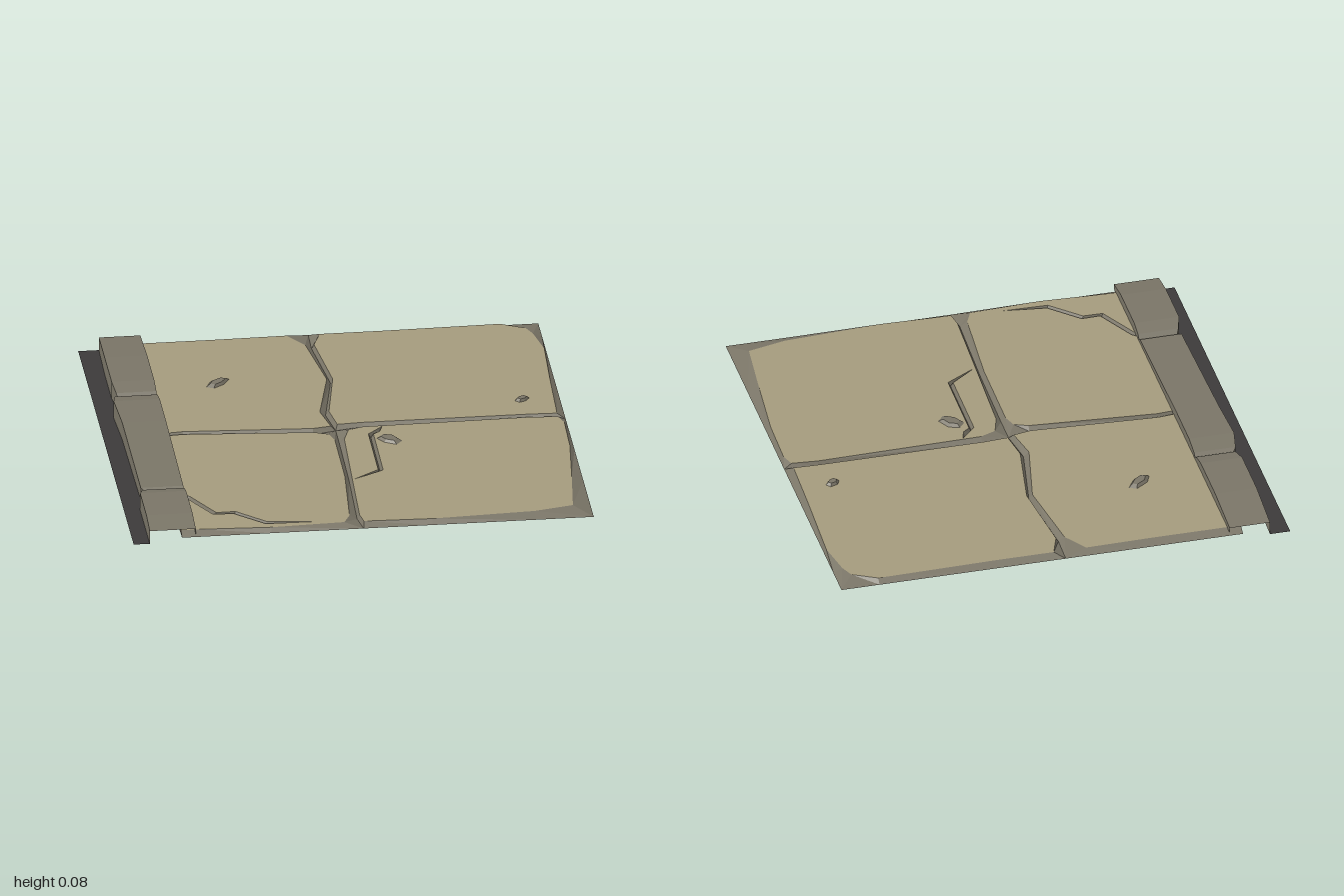
import * as THREE from 'three';

const mat = (name, color) => {
  const m = new THREE.MeshStandardMaterial({ color, side: THREE.DoubleSide });
  m.name = name;
  return m;
};

const TOP = 0.04, LOW = 0.021;
const at = (points, y) => points.map(([x, z]) => new THREE.Vector3(x, y, z));
const closed = (points) => [...points, points[0]];

// Flat-shaded surface joining rows of points
function loft(rows) {
  const points = [];
  for (let i = 0; i < rows.length - 1; i++) {
    const a = rows[i], b = rows[i + 1];
    for (let j = 0; j < a.length - 1; j++) points.push(a[j], a[j + 1], b[j], a[j + 1], b[j + 1], b[j]);
  }
  const g = new THREE.BufferGeometry().setFromPoints(points);
  g.computeVertexNormals();
  return g;
}

// Horizontal polygon from [x, z] points, with optional holes
function flat(points, y, holes = []) {
  const to2 = ([x, z]) => new THREE.Vector2(x, -z);
  const shape = new THREE.Shape(points.map(to2));
  for (const h of holes) shape.holes.push(new THREE.Path(h.map(to2)));
  return new THREE.ShapeGeometry(shape).rotateX(-Math.PI / 2).translate(0, y, 0);
}

// One edge of a crack that tapers to a point at each end
const crackSide = (path, half) => path.map((p, i) => {
  if (i === 0 || i === path.length - 1) return p;
  const dx = path[i + 1][0] - path[i - 1][0], dz = path[i + 1][1] - path[i - 1][1];
  const k = half / Math.hypot(dx, dz);
  return [p[0] - k * dz, p[1] + k * dx];
});

// Four joints from the middle outwards: [x, z, gap to next slab, gap to previous slab]
const joints = [
  { side: [0, -1], path: [[0.12, -0.02, 0.022, 0.022], [0.85, -0.02, 0.02, 0.01], [1, -0.01, 0.026, 0.01]] },
  { side: [-1, 0], path: [[-0.025, -0.17, 0.025, 0.015], [0.036, -0.5, 0.016, 0.01],
    [-0.003, -0.86, 0.027, 0.011], [0, -1, 0.1, 0.045]] },
  { side: [0, 1], path: [[-0.1, 0.018, 0.017, 0.023], [-0.66, -0.022, 0.01, 0.018], [-0.8, -0.015, 0.01, 0.015]] },
  { side: [1, 0], path: [[0, 0.12, 0.022, 0.02], [-0.004, 0.5, 0.012, 0.018],
    [-0.017, 0.9, 0.011, 0.033], [0, 1, 0.005, 0.08]] },
];

// Slabs between neighbouring joints: inner corner and worn outer rim
const slabs = [
  { name: 'backRightSlab', inner: [0.01, -0.035],
    rim: [[0.975, -0.35], [0.99, -0.7], [0.96, -0.86], [0.935, -0.92], [0.83, -0.975], [0.3, -0.965]] },
  { name: 'backLeftSlab', inner: [-0.02, -0.02], rim: [[-0.4, -0.96], [-0.79, -0.96]] },
  { name: 'frontLeftSlab', inner: [-0.04, 0.06], rim: [[-0.79, 0.965], [-0.72, 0.963], [-0.4, 0.98]],
    crack: [[-0.76, 0.58], [-0.72, 0.63], [-0.625, 0.81], [-0.54, 0.81], [-0.415, 0.93], [-0.22, 0.945]] },
  { name: 'frontRightSlab', inner: [0.05, 0.03],
    rim: [[0.3, 0.975], [0.75, 0.95], [0.92, 0.91], [0.95, 0.62], [0.98, 0.3], [0.985, 0.06]],
    crack: [[0.012, 0.535], [0.14, 0.45], [0.142, 0.08], [0.175, 0.05], [0.2, 0.006]] },
];

// Slab edge along a joint, stopping short of the tile border
const jointEdge = ({ side, path }, gap, sign) => path.map((p, i) => {
  const k = i === path.length - 1 ? 0.965 : 1;
  return [p[0] * k + sign * p[gap] * side[0], p[1] * k + sign * p[gap] * side[1]];
});

// Rim point pushed out to the tile border
function border([x, z]) {
  const ax = Math.abs(x), az = Math.abs(z), corner = Math.min(ax, az) > 0.9;
  return [corner || ax > az ? Math.sign(x) : x, corner || az > ax ? Math.sign(z) : z];
}

// Curb sections along z: [z, height, outer x], dipping at the two breaks
const curb = [
  [1, 0.06, -0.93], [0.88, 0.08, -0.93], [0.65, 0.08, -0.93], [0.585, 0.064, -0.91],
  [0.565, 0.048, -0.9], [0.55, 0.058, -0.915], [-0.08, 0.08, -0.92], [-0.3, 0.08, -0.93],
  [-0.385, 0.062, -0.915], [-0.403, 0.048, -0.9], [-0.42, 0.062, -0.905], [-0.5, 0.08, -0.915],
  [-0.75, 0.08, -0.915], [-1, 0.06, -0.91],
];

// Loose chips: [x, z, half length, half width, turn], sharing one outline
const chipOutline = [[-1, -0.3], [-0.3, -1], [0.8, -0.8], [1, 0.2], [0.1, 0.8], [-0.8, 0.7]];
const chips = [
  [-0.45, -0.515, 0.064, 0.032, -0.7], [0.213, 0.148, 0.058, 0.042, 0.95], [0.833, -0.193, 0.033, 0.025, -0.5],
];

export function createModel() {
  const root = new THREE.Group();
  root.name = 'stoneFloorTile';
  const sand = mat('sandStone', 0xa59b7d);
  const grey = mat('greyStone', 0x7a7567);
  const dark = mat('darkBase', 0x3c3a3a);
  const add = (name, geo, material) => {
    const m = new THREE.Mesh(geo, material);
    m.name = name;
    root.add(m);
  };

  // Slab faces, their sloping edges and cracks
  slabs.forEach(({ name, inner, rim, crack }, i) => {
    const from = joints[i], to = joints[(i + 1) % 4];
    const top = [inner, ...jointEdge(from, 2, 1), ...rim, ...jointEdge(to, 3, -1).reverse()];
    const low = [[0, -0.01], ...from.path, ...rim.map(border), ...[...to.path].reverse()];
    const holes = [];
    if (crack) {
      const l = crackSide(crack, 0.011), r = crackSide(crack, -0.011);
      holes.push([...l, ...r.slice(1, -1).reverse()]);
      const floor = at(crack, LOW);
      floor[0].y = floor[floor.length - 1].y = TOP;
      add(name + 'Crack', loft([at(l, TOP), floor, at(r, TOP)]), grey);
    }
    add(name, flat(top, TOP, holes), sand);
    add(name + 'Edge', loft([at(closed(low), LOW), at(closed(top), TOP)]), grey);
  });

  // Raised curb: outer wall, worn top and inner wall
  add('curb', loft(curb.map(([z, h, xo]) =>
    [[xo, 0], [xo, h], [-0.73, h], [-0.73, TOP - 0.005]].map(([x, y]) => new THREE.Vector3(x, y, z)))), grey);

  // Dark ground strip outside the curb
  add('baseStrip', flat([[-1, 1], ...curb.map(([z, , xo]) => [xo, z]), [-1, -1]], 0), dark);

  // Chips: sloped sides and a smaller flat top
  for (const [x, z, length, width, turn] of chips) {
    const c = Math.cos(turn), s = Math.sin(turn);
    const outline = (k) => chipOutline.map(([u, w]) => [
      x + k * (u * length * c - w * width * s), z + k * (u * length * s + w * width * c)]);
    add('chipSides', loft([at(closed(outline(0.65)), 0.051), at(closed(outline(1)), TOP)]), grey);
    add('chipTop', flat(outline(0.65), 0.051), grey);
  }
  return root;
}
